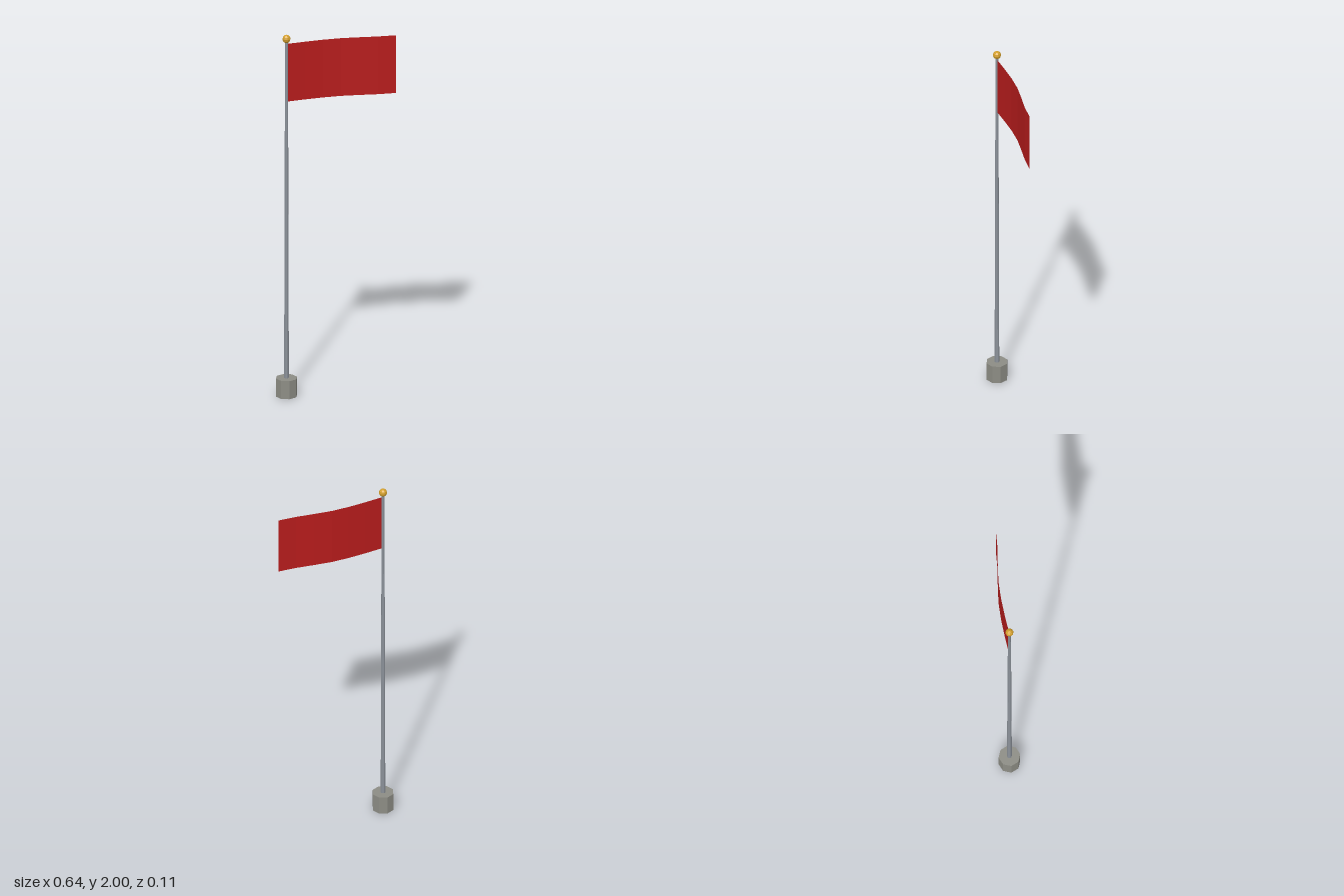
import * as THREE from 'three';

const POLE_X = -0.265;

function addPart(group, name, geometry, color, x, y, options = {}) {
  const material = new THREE.MeshStandardMaterial({ color, flatShading: true, ...options });
  const mesh = new THREE.Mesh(geometry, material);
  mesh.name = name;
  mesh.position.set(x, y, 0);
  group.add(mesh);
}

export function createModel() {
  const group = new THREE.Group();
  group.name = 'flagpole';

  // Octagonal footing, slim tapered pole and ball on top
  addPart(group, 'base', new THREE.CylinderGeometry(0.057, 0.057, 0.1, 8), 0x8c8c84, POLE_X, 0.05);
  addPart(group, 'pole', new THREE.CylinderGeometry(0.008, 0.013, 1.88, 8), 0x8a9098, POLE_X, 1.03);
  addPart(group, 'finial', new THREE.SphereGeometry(0.022, 8, 6), 0xd4a02c, POLE_X, 1.978);

  // Flag cloth: six strips bent into a gentle wave
  const wave = [0, -0.006, -0.009, -0.006, 0.007, 0.022, 0.03];
  const width = 0.575;
  const cloth = new THREE.PlaneGeometry(width, 0.32, wave.length - 1, 1);
  const pos = cloth.attributes.position;
  for (let i = 0; i < pos.count; i++) pos.setZ(i, wave[i % wave.length]);
  cloth.computeVertexNormals();
  addPart(group, 'flag', cloth, 0xb71c1c, -0.256 + width / 2, 1.79, { side: THREE.DoubleSide });

  return group;
}
